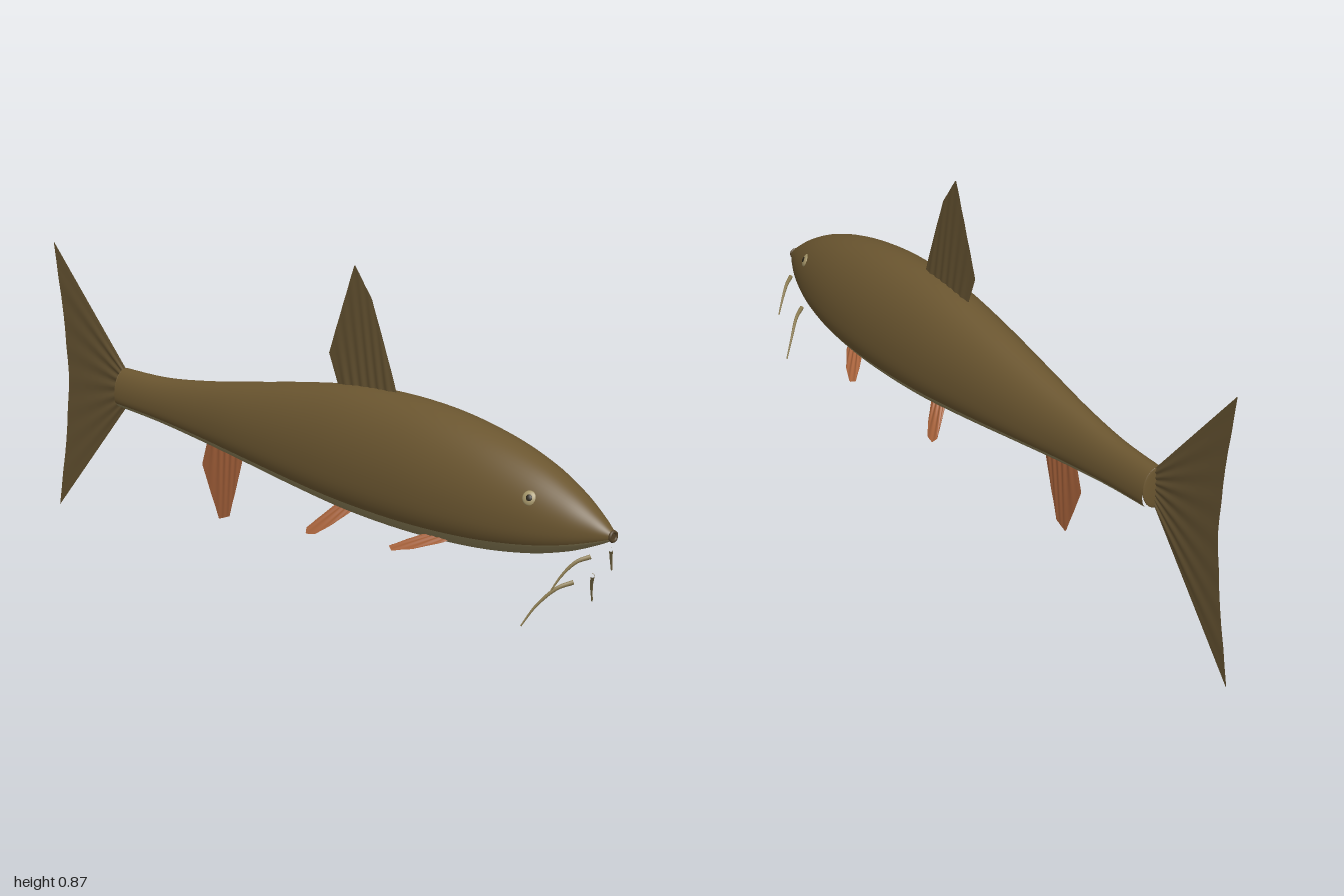
import * as THREE from 'three';

const paint = (name, color, side = THREE.FrontSide) => {
  const m = new THREE.MeshStandardMaterial({ color, side });
  m.name = name;
  return m;
};

export function createModel() {
  const fish = new THREE.Group();
  fish.name = 'fish';
  const backMat = paint('olive back', 0x6b5630);
  const bellyMat = paint('pale belly', 0x8f8259);
  const finMat = paint('olive fin', 0x635130, THREE.DoubleSide);
  const redMat = paint('red fin', 0xa5613a, THREE.DoubleSide);
  const barbelMat = paint('barbel tan', 0x8a7a50);
  const mouthMat = paint('mouth brown', 0x55432a);
  const irisMat = paint('iris tan', 0xa39468);
  const pupilMat = paint('pupil dark', 0x2a2418);

  const add = (name, geo, mat, parent = fish) => {
    const mesh = new THREE.Mesh(geo, mat);
    mesh.name = name;
    parent.add(mesh);
    return mesh;
  };

  // Body: stations of x, top, bottom, half width
  const stations = [
    [-0.71, 0.451, 0.345, 0.04], [-0.55, 0.456, 0.336, 0.045], [-0.38, 0.479, 0.321, 0.058],
    [-0.2, 0.512, 0.304, 0.08], [0, 0.55, 0.283, 0.102], [0.18, 0.577, 0.267, 0.118],
    [0.35, 0.585, 0.261, 0.126], [0.5, 0.577, 0.264, 0.127], [0.65, 0.552, 0.275, 0.117],
    [0.78, 0.514, 0.295, 0.095], [0.88, 0.468, 0.322, 0.066], [0.95, 0.425, 0.35, 0.036],
    [0.985, 0.4, 0.367, 0.017], [0.996, 0.392, 0.373, 0.01],
  ];
  const spline = k => new THREE.SplineCurve(stations.map(s => new THREE.Vector2(s[0], s[k])));
  const [topLine, bottomLine, sideLine] = [1, 2, 3].map(spline);
  const CENTRE = 0.383, RINGS = 78, AROUND = 60, EDGE = -0.55;
  const BELLY = 20; // the first quads of each ring belong to the belly
  const angleAt = j => j <= BELLY
    ? -Math.PI - EDGE + (j / BELLY) * (Math.PI + 2 * EDGE)
    : EDGE + ((j - BELLY) / (AROUND - BELLY)) * (Math.PI - 2 * EDGE);
  const pos = [];
  for (let i = 0; i <= RINGS; i++) {
    const t = i / RINGS;
    const { x, y: top } = topLine.getPoint(t);
    const bottom = bottomLine.getPoint(t).y, half = sideLine.getPoint(t).y;
    for (let j = 0; j < AROUND; j++) {
      const a = angleAt(j), s = Math.sin(a), c = Math.cos(a);
      const p = s < 0 ? 0.8 : 1; // the underside is squarer than the back
      const y = s < 0 ? -Math.pow(-s, p) * (CENTRE - bottom) : s * (top - CENTRE);
      pos.push(x, CENTRE + y, Math.sign(c) * Math.pow(Math.abs(c), p) * half);
    }
  }
  const bellyIdx = [], backIdx = [];
  for (let i = 0; i < RINGS; i++) for (let j = 0; j < AROUND; j++) {
    const k = (j + 1) % AROUND;
    const a = i * AROUND + j, b = i * AROUND + k, c = a + AROUND, d = b + AROUND;
    (j < BELLY ? bellyIdx : backIdx).push(a, c, b, b, c, d);
  }
  const body = new THREE.BufferGeometry();
  body.setAttribute('position', new THREE.Float32BufferAttribute(pos, 3));
  body.setIndex([...bellyIdx, ...backIdx]);
  body.addGroup(0, bellyIdx.length, 0);
  body.addGroup(bellyIdx.length, backIdx.length, 1);
  body.computeVertexNormals();
  // Make sure the skin faces outward
  const probe = (RINGS >> 1) * AROUND + 40;
  if (body.attributes.normal.getY(probe) < 0) {
    body.index.array.reverse();
    body.clearGroups();
    body.addGroup(0, backIdx.length, 1);
    body.addGroup(backIdx.length, bellyIdx.length, 0);
    body.computeVertexNormals();
  }
  add('body', body, [bellyMat, backMat]);

  // Blunt end of the body at the tail
  const cap = add('tailStump', new THREE.SphereGeometry(1, 24, 12), backMat);
  cap.scale.set(0.004, 0.052, 0.039);
  cap.position.set(-0.709, 0.398, 0);

  // Mouth
  const lips = add('lips', new THREE.TorusGeometry(0.011, 0.004, 8, 24), mouthMat);
  lips.rotation.y = Math.PI / 2;
  lips.position.set(0.996, 0.382, 0);
  const mouth = add('mouth', new THREE.CircleGeometry(0.011, 20), mouthMat);
  mouth.rotation.y = Math.PI / 2;
  mouth.position.set(0.9965, 0.382, 0);

  // Fin in the xy plane: rays run from a root line to an outer edge, thinning outward
  function finGeometry(root, edge, thick, rays) {
    const U = 48, V = 6, p = [], idx = [];
    const along = (pts, u) => {
      const f = u * (pts.length - 1), i = Math.min(Math.floor(f), pts.length - 2);
      return [0, 1].map(k => pts[i][k] + (pts[i + 1][k] - pts[i][k]) * (f - i));
    };
    for (const side of [1, -1]) {
      const base = p.length / 3;
      for (let i = 0; i <= U; i++) for (let j = 0; j <= V; j++) {
        const u = i / U, v = j / V, r = along(root, u), e = along(edge, u);
        const rim = Math.min(1, 12 * Math.min(u, 1 - u));
        const z = thick * (1 - 0.8 * v) * rim * (1 + 0.45 * Math.cos(u * rays * Math.PI * 2));
        p.push(r[0] + (e[0] - r[0]) * v, r[1] + (e[1] - r[1]) * v, side * (z + 0.0003));
      }
      for (let i = 0; i < U; i++) for (let j = 0; j < V; j++) {
        const a = base + i * (V + 1) + j, b = a + V + 1;
        // counter-clockwise seen from outside on either side
        if (side > 0) idx.push(a, b, a + 1, b, b + 1, a + 1);
        else idx.push(a, a + 1, b, b, a + 1, b + 1);
      }
    }
    const g = new THREE.BufferGeometry();
    g.setAttribute('position', new THREE.Float32BufferAttribute(p, 3));
    g.setIndex(idx);
    g.computeVertexNormals();
    return g;
  }

  add('dorsalFin', finGeometry([[0.108, 0.55], [0.308, 0.57]],
    [[0.07, 0.64], [0.114, 0.758], [0.158, 0.876], [0.217, 0.8], [0.29, 0.62]], 0.0035, 7), finMat);
  add('tailFin', finGeometry([[-0.7, 0.352], [-0.7, 0.442]],
    [[-1, 0.005], [-0.964, 0.2], [-0.946, 0.38], [-0.964, 0.555], [-1, 0.75]], 0.004, 8), finMat);
  add('analFin', finGeometry([[-0.375, 0.345], [-0.238, 0.33]],
    [[-0.405, 0.25], [-0.34, 0.115], [-0.302, 0.13], [-0.255, 0.275]], 0.0035, 6), redMat);

  // Paired fins, drawn flat as (x, reach) and swung down from the belly
  const pectoral = finGeometry([[0.5, -0.02], [0.57, -0.02]],
    [[0.46, 0.018], [0.425, 0.058], [0.44, 0.068], [0.49, 0.045], [0.555, 0]], 0.005, 4);
  const pelvic = finGeometry([[0.15, -0.02], [0.21, -0.02]],
    [[0.115, 0.038], [0.095, 0.074], [0.102, 0.09], [0.13, 0.084], [0.165, 0.046], [0.2, 0]], 0.005, 4);

  for (const [label, s] of [['front', 1], ['back', -1]]) {
    const pec = add(label + 'PectoralFin', pectoral, redMat);
    pec.position.set(0, 0.285, s * 0.095);
    pec.rotation.x = s * 2.09;
    const pel = add(label + 'PelvicFin', pelvic, redMat);
    pel.position.set(0, 0.27, s * 0.05);
    pel.rotation.x = s * 2.4;

    // Barbels: tubes tapering to the tip
    const barbels = [
      [[0.96, 0.333, 0.035], [0.94, 0.322, 0.06], [0.92, 0.292, 0.085], [0.905, 0.255, 0.106]],
      [[0.908, 0.258, 0.032], [0.885, 0.245, 0.062], [0.853, 0.203, 0.097], [0.832, 0.155, 0.125]],
    ];
    barbels.forEach((pts, n) => {
      const curve = new THREE.CatmullRomCurve3(pts.map(q => new THREE.Vector3(q[0], q[1], s * q[2])));
      const STEPS = 20, SIDES = 8;
      const g = new THREE.TubeGeometry(curve, STEPS, 0.006, SIDES);
      const v = new THREE.Vector3(), at = g.attributes.position;
      for (let i = 0; i < at.count; i++) {
        const u = Math.floor(i / (SIDES + 1)) / STEPS;
        v.fromBufferAttribute(at, i).lerp(curve.getPointAt(u), 0.7 * u);
        at.setXYZ(i, v.x, v.y, v.z);
      }
      add(label + (n ? 'LowerBarbel' : 'UpperBarbel'), g, barbelMat);
    });

    // Eye
    const eye = new THREE.Group();
    eye.name = label + 'Eye';
    eye.position.set(0.805, 0.446, s * 0.073);
    eye.lookAt(0.805 + 0.38, 0.446 + 0.4, s * (0.073 + 0.84));
    add('iris', new THREE.SphereGeometry(0.018, 20, 14), irisMat, eye).scale.z = 0.4;
    const pupil = add('pupil', new THREE.SphereGeometry(0.008, 16, 10), pupilMat, eye);
    pupil.scale.z = 0.35;
    pupil.position.z = 0.0058;
    fish.add(eye);
  }
  return fish;
}
